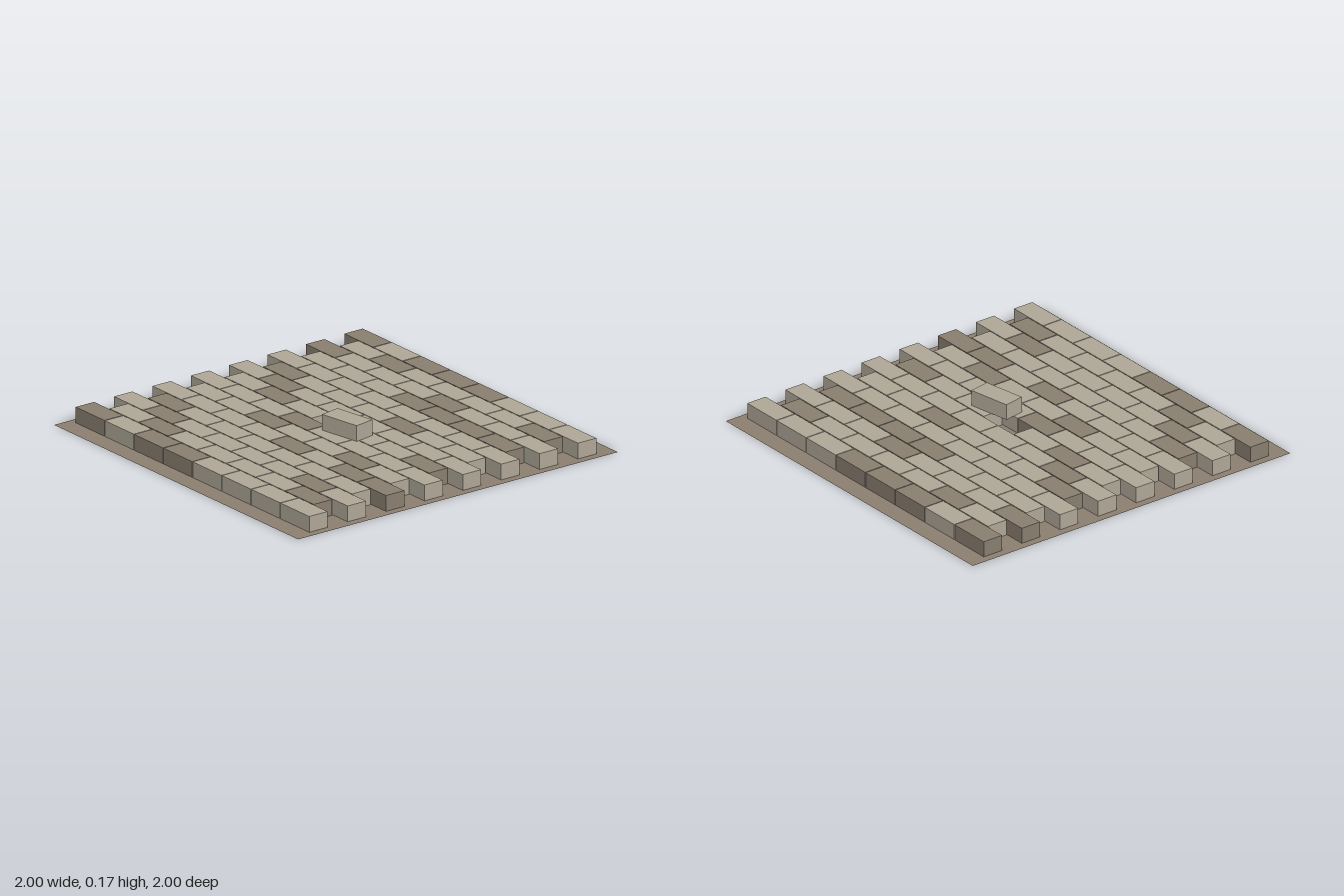
import * as THREE from 'three';

export function createModel() {
  const model = new THREE.Group();
  model.name = 'brickPaving';

  const mat = (name, color) => {
    const m = new THREE.MeshStandardMaterial({ color });
    m.name = name;
    return m;
  };
  const lightBrick = mat('lightBrick', 0xb0a898);
  const darkBrick = mat('darkBrick', 0x8a7f70);
  const mortar = mat('mortar', 0x8b7f70);
  mortar.side = THREE.DoubleSide;

  // Flat mortar bed
  const bed = new THREE.Mesh(new THREE.PlaneGeometry(2, 2).rotateX(-Math.PI / 2), mortar);
  bed.name = 'mortarBed';
  model.add(bed);

  const W = 0.235, H = 0.084, D = 0.115, PITCH_X = 0.24, PITCH_Z = 0.12;
  const brickGeo = new THREE.BoxGeometry(W, H, D);
  const addBrick = (parent, name, material, x, y, z) => {
    const brick = new THREE.Mesh(brickGeo, material);
    brick.name = name;
    brick.position.set(x, y, z);
    parent.add(brick);
    return brick;
  };

  // Running bond, back row first: l = light, d = dark, - = missing brick
  const rows = [
    'dldddlll', 'ldlllld', 'dllldlll', 'llldddd', 'llllllll',
    'dllldll', 'ldllllll', 'ldl-lld', 'llldllll', 'lldlldl',
    'lllldldd', 'dllllll', 'ldlllldl', 'ldlllld', 'dlddllll',
  ];
  rows.forEach((row, r) => {
    const course = new THREE.Group();
    course.name = `brickRow${r + 1}`;
    [...row].forEach((kind, c) => {
      if (kind === '-') return;
      const x = (c - (row.length - 1) / 2) * PITCH_X;
      const z = (r - (rows.length - 1) / 2) * PITCH_Z;
      addBrick(course, 'brick', kind === 'd' ? darkBrick : lightBrick, x, H / 2 + 0.001, z);
    });
    model.add(course);
  });

  // Loose brick lying askew beside its gap
  const loose = addBrick(model, 'looseBrick', lightBrick, 0.148, H * 1.5 + 0.002, 0.043);
  loose.rotation.y = THREE.MathUtils.degToRad(10);

  return model;
}
